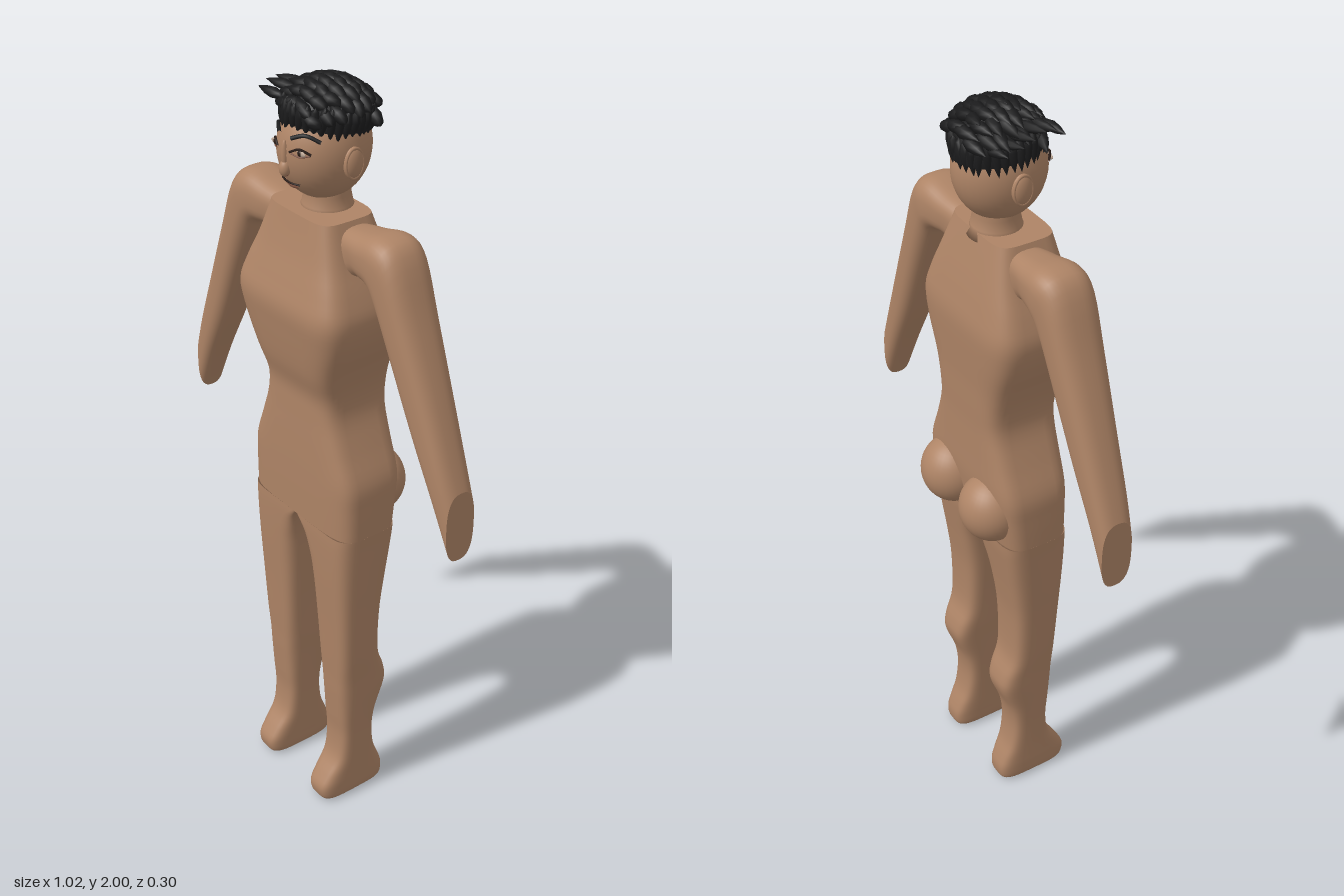
import * as THREE from 'three';

const mat = (name, color, side = THREE.FrontSide) => {
  const m = new THREE.MeshStandardMaterial({ color, side });
  m.name = name;
  return m;
};
const skin = mat('skin', 0xae8466, THREE.DoubleSide);
const hairBlack = mat('hair black', 0x1b1b1c);
const lineDark = mat('line dark', 0x2a1d18);
const lip = mat('lip', 0x7d5140);
const eyeWhite = mat('eye white', 0xb8a392);

// Catmull-Rom blend of one number
const cr = (a, b, c, d, t) =>
  0.5 * (2 * b + (c - a) * t + (2 * a - 5 * b + 4 * c - d) * t * t + (3 * b - a - 3 * c + d) * t * t * t);

// Skin over superellipse sections [ax, ay, bx, by, zBack, zFront, roundness, roundness on the a side]
function loft(sections, side = 1, capStart = false, capEnd = false, steps = 4, seg = 40) {
  const rows = [];
  const at = i => sections[Math.max(0, Math.min(sections.length - 1, i))];
  for (let i = 0; i < sections.length - 1; i++)
    for (let k = 0; k < steps; k++)
      rows.push(at(i).map((v, c) => cr(at(i - 1)[c], v, at(i + 1)[c], at(i + 2)[c], k / steps)));
  rows.push(at(sections.length - 1));
  const pos = [], idx = [];
  const ring = ([ax, ay, bx, by, z0, z1, n, nA]) => {
    for (let j = 0; j < seg; j++) {
      const t = (j / seg) * Math.PI * 2, c = Math.cos(t), s = Math.sin(t) * 1;
      const e = 2 / (c < 0 ? nA : n);
      const u = Math.sign(c) * Math.pow(Math.abs(c), e);
      const w = Math.sign(s) * Math.pow(Math.abs(s), e);
      pos.push(side * ((ax + bx) / 2 + (u * (bx - ax)) / 2), (ay + by) / 2 + (u * (by - ay)) / 2,
        (z0 + z1) / 2 + (w * (z1 - z0)) / 2);
    }
  };
  const tri = (a, b, c) => (side > 0 ? idx.push(a, b, c) : idx.push(a, c, b));
  rows.forEach(ring);
  for (let i = 0; i < rows.length - 1; i++)
    for (let j = 0; j < seg; j++) {
      const k = (j + 1) % seg, p = i * seg, q = p + seg;
      tri(p + j, q + j, p + k);
      tri(p + k, q + j, q + k);
    }
  const cap = (r, flip) => {
    const base = pos.length / 3;
    ring(r);
    pos.push(side * (r[0] + r[2]) / 2, (r[1] + r[3]) / 2, (r[4] + r[5]) / 2);
    for (let j = 0; j < seg; j++) {
      const k = (j + 1) % seg;
      flip ? tri(base + j, base + k, base + seg) : tri(base + k, base + j, base + seg);
    }
  };
  if (capStart) cap(rows[0], true);
  if (capEnd) cap(rows[rows.length - 1], false);
  const g = new THREE.BufferGeometry();
  g.setAttribute('position', new THREE.Float32BufferAttribute(pos, 3));
  g.setIndex(idx);
  g.computeVertexNormals();
  return g;
}

// Head ellipsoid, and a point on its front
const HC = [0, 1.835, 0.008], HR = [0.102, 0.125, 0.113];
const facePoint = (x, y, lift = 0) => new THREE.Vector3(x, y,
  HC[2] + lift + HR[2] * Math.sqrt(Math.max(0, 1 - (x / HR[0]) ** 2 - ((y - HC[1]) / HR[1]) ** 2)));

export function createModel() {
  const root = new THREE.Group();
  root.name = 'figure';
  const add = (name, geo, m, parent = root) => {
    const o = new THREE.Mesh(geo, m);
    o.name = name;
    parent.add(o);
    return o;
  };
  const ball = (name, p, r, m, parent) => {
    const o = add(name, new THREE.SphereGeometry(1, 32, 24), m, parent);
    o.position.set(...p);
    o.scale.set(...r);
    return o;
  };

  // Torso: [y, half width, back z, front z]
  const torso = [
    [0.87, 0.2, -0.08, 0.102], [0.95, 0.2, -0.09, 0.104], [1.02, 0.196, -0.098, 0.105],
    [1.1, 0.165, -0.098, 0.105], [1.18, 0.137, -0.098, 0.104], [1.24, 0.135, -0.1, 0.106],
    [1.31, 0.152, -0.102, 0.126], [1.4, 0.184, -0.108, 0.142], [1.47, 0.195, -0.11, 0.15],
    [1.53, 0.178, -0.1, 0.136], [1.6, 0.148, -0.084, 0.116], [1.69, 0.115, -0.06, 0.096],
  ].map(([y, w, b, f]) => [-w, y, w, y, b, f, 5, 5]);
  add('torso', loft(torso, 1, false, true), skin);

  // Legs with feet: [y, inner x, outer x, back z, front z, inner squareness]
  const leg = [
    [0, 0.085, 0.155, -0.06, 0.112, 4], [0.012, 0.076, 0.164, -0.073, 0.126, 4],
    [0.045, 0.074, 0.166, -0.075, 0.13, 4], [0.08, 0.073, 0.166, -0.064, 0.11, 4],
    [0.13, 0.072, 0.166, -0.045, 0.078, 4], [0.2, 0.07, 0.167, -0.037, 0.068, 4],
    [0.27, 0.067, 0.17, -0.046, 0.072, 4], [0.35, 0.063, 0.174, -0.074, 0.077, 4],
    [0.4, 0.06, 0.176, -0.069, 0.079, 4], [0.47, 0.057, 0.18, -0.046, 0.083, 4],
    [0.6, 0.05, 0.186, -0.045, 0.09, 4], [0.7, 0.042, 0.191, -0.056, 0.096, 4],
    [0.78, 0.032, 0.195, -0.068, 0.1, 5], [0.84, 0.016, 0.198, -0.077, 0.102, 9],
    [0.87, 0, 0.2, -0.08, 0.102, 25],
  ].map(([y, i, o, b, f, n]) => [i, y, o, y, b, f, 4, n]);

  // Arms run from the shoulder to a plain upright cut: [top x, top y, bottom x, bottom y, back z, front z]
  const arm = [
    [0.07, 1.665, 0.1, 1.53, -0.04, 0.055], [0.12, 1.678, 0.165, 1.572, -0.047, 0.062],
    [0.18, 1.688, 0.2, 1.575, -0.056, 0.07], [0.25, 1.7, 0.228, 1.565, -0.064, 0.076],
    [0.306, 1.67, 0.25, 1.525, -0.061, 0.076], [0.36, 1.54, 0.3, 1.42, -0.055, 0.071],
    [0.43, 1.37, 0.38, 1.245, -0.046, 0.062], [0.485, 1.23, 0.455, 1.1, -0.039, 0.055],
    [0.512, 1.16, 0.512, 0.975, -0.035, 0.048],
  ].map(r => [...r, 2.7, 2.7]);

  for (const s of [1, -1]) {
    const side = s > 0 ? 'left' : 'right';
    add(side + ' leg', loft(leg, s, true), skin);
    add(side + ' arm', loft(arm, s, false, true), skin);
    ball(side + ' buttock', [s * 0.093, 0.955, -0.07], [0.085, 0.09, 0.084], skin);
  }

  // Neck
  const neck = [[0, 1.66], [0.07, 1.67], [0.06, 1.695], [0.055, 1.72], [0.055, 1.78]]
    .map(p => new THREE.Vector2(...p));
  add('neck', new THREE.LatheGeometry(neck, 32), skin);

  // Head and face
  const head = new THREE.Group();
  head.name = 'head';
  root.add(head);
  ball('skull', HC, HR, skin, head);
  ball('nose', facePoint(0, 1.803, 0.001), [0.014, 0.02, 0.014], skin, head);
  ball('nose bridge', facePoint(0, 1.835, -0.002), [0.008, 0.035, 0.008], skin, head);
  const line = (name, pts, r, m, lift = 0.002) => add(name, new THREE.TubeGeometry(
    new THREE.CatmullRomCurve3(pts.map(p => facePoint(p[0], p[1], lift))), 14, r, 6), m, head);
  for (const s of [1, -1]) {
    ball('ear', [s * 0.1, 1.82, 0.004], [0.016, 0.038, 0.026], skin, head);
    const rim = add('ear rim', new THREE.TorusGeometry(1, 0.12, 8, 28), skin, head);
    rim.rotation.y = Math.PI / 2;
    rim.scale.set(0.024, 0.035, 0.026);
    rim.position.set(s * 0.106, 1.82, 0.004);
    ball('eye', facePoint(s * 0.045, 1.85), [0.018, 0.007, 0.004], eyeWhite, head);
    ball('iris', facePoint(s * 0.045, 1.85, 0.002), [0.007, 0.007, 0.004], lineDark, head);
    line('upper lid', [[s * 0.022, 1.849], [s * 0.044, 1.859], [s * 0.068, 1.849]], 0.003, lineDark, 0.004);
    line('lower lid', [[s * 0.024, 1.846], [s * 0.045, 1.841], [s * 0.066, 1.847]], 0.002, lip);
    line('eyebrow', [[s * 0.022, 1.88], [s * 0.05, 1.89], [s * 0.078, 1.877]], 0.005, hairBlack, 0.006);
    ball('nostril', facePoint(s * 0.008, 1.79, 0.006), [0.004, 0.003, 0.004], lip, head);
  }
  line('mouth', [[-0.034, 1.768], [-0.012, 1.767], [0.012, 1.767], [0.034, 1.768]], 0.0025, lineDark, 0.005);
  line('lower lip', [[-0.024, 1.761], [0, 1.757], [0.024, 1.761]], 0.005, lip, 0.001);

  // Hair: a cap covered by leaf-shaped locks swept towards -x
  const hair = new THREE.Group();
  hair.name = 'hair';
  head.add(hair);
  const cap = add('hair cap', new THREE.SphereGeometry(1, 32, 16, 0, Math.PI * 2, 0, Math.PI * 0.5), hairBlack, hair);
  cap.position.set(0, 1.888, -0.002);
  cap.scale.set(0.103, 0.092, 0.106);
  cap.rotation.x = -0.12;
  let seed = 7;
  const rnd = () => ((seed = (seed * 16807) % 2147483647) / 2147483647) - 0.5;
  const leaf = new THREE.LatheGeometry([[0, -0.5], [0.7, -0.38], [1, -0.1], [0.75, 0.2], [0.3, 0.42], [0, 0.55]]
    .map(p => new THREE.Vector2(...p)), 8);
  const up = new THREE.Vector3(0, 1, 0);
  const lock = (p, dir, len, r) => {
    const o = add('hair lock', leaf, hairBlack, hair);
    o.position.copy(p);
    o.quaternion.setFromUnitVectors(up, dir.normalize());
    o.scale.set(r, len, r);
  };
  for (let i = 0; i < 8; i++)
    for (let j = 0; j < 6; j++) {
      const z = -0.088 + i * 0.025, x = 0.075 - j * 0.032 + (i % 2) * 0.012;
      const q = 1 - (x / 0.112) ** 2 - (z / 0.112) ** 2;
      if (q < 0.02) continue;
      const p = new THREE.Vector3(x, 1.888 + 0.094 * Math.sqrt(q), z);
      lock(p, new THREE.Vector3(-1, x * 5 + 0.12 + rnd() * 0.2, rnd() * 0.5), 0.075 + rnd() * 0.02, 0.016);
    }
  // Loose tips on the right side
  for (let i = 0; i < 6; i++)
    lock(new THREE.Vector3(-0.095, 1.965 - Math.abs(i - 3.4) * 0.012, -0.06 + i * 0.029),
      new THREE.Vector3(-1, 0.12 - i * 0.02, 0.25 + rnd() * 0.4), 0.085, 0.013);
  // Hanging locks around the rim, longer at the back
  for (let i = 0; i < 34; i++) {
    const t = (i / 34) * Math.PI * 2, c = Math.cos(t), s = Math.sin(t);
    lock(new THREE.Vector3(0.098 * c, 1.908 + 0.012 * s, 0.1 * s),
      new THREE.Vector3(-0.15 + rnd() * 0.2, -1, rnd() * 0.2), 0.075 + rnd() * 0.016, 0.012);
  }
  return root;
}
